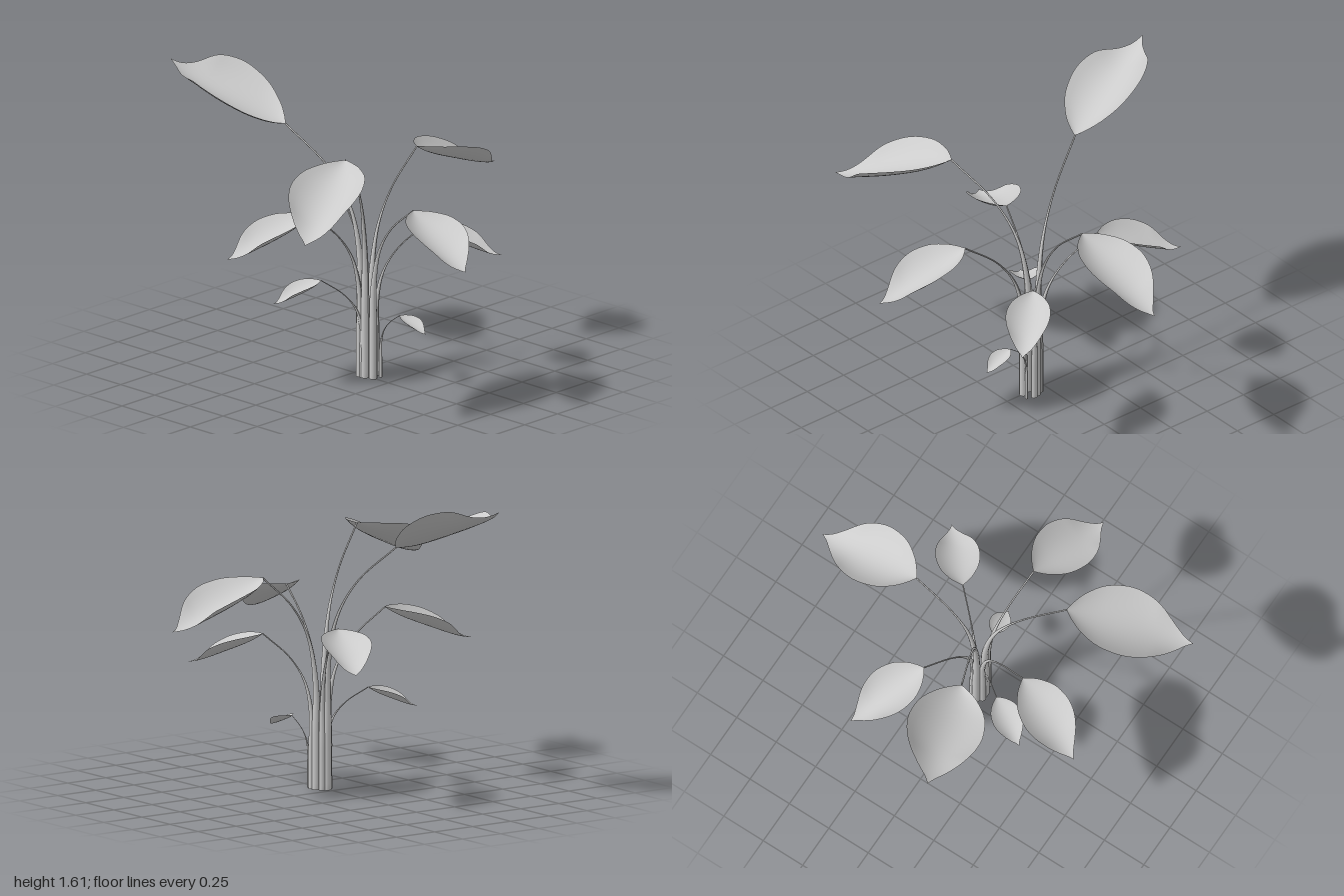
import * as THREE from 'three';

const material = new THREE.MeshStandardMaterial({ color: 0xcccccc, side: THREE.DoubleSide });

// root [x, z], stem radius, leaf base and tip [x, y, z], half width and sideways tilt of the blade
const LEAVES = [
  { root: [0.005, 0.04], r: 0.023, base: [-0.16, 1.345, -0.35], tip: [-0.37, 1.61, -0.99], w: 0.203, tilt: 0.15 },
  { root: [-0.015, 0.095], r: 0.023, base: [-0.39, 1.35, 0.31], tip: [-1.0, 1.09, 0.6], w: 0.195, tilt: 0 },
  { root: [0.045, 0.085], r: 0.022, base: [0.405, 1.18, 0.07], tip: [1.0, 0.955, 0.07], w: 0.175, tilt: 0.05 },
  { root: [0.0, 0.14], r: 0.022, base: [-0.06, 1.03, 0.49], tip: [-0.175, 0.83, 0.985], w: 0.155, tilt: 0 },
  { root: [-0.02, 0.06], r: 0.02, base: [-0.33, 0.955, -0.02], tip: [-0.77, 0.77, -0.195], w: 0.14, tilt: 0 },
  { root: [0.03, 0.05], r: 0.02, base: [0.145, 0.925, -0.25], tip: [0.335, 0.76, -0.665], w: 0.132, tilt: 0 },
  { root: [0.055, 0.11], r: 0.018, base: [0.25, 0.83, 0.28], tip: [0.52, 0.665, 0.58], w: 0.118, tilt: 0 },
  { root: [-0.024, 0.08], r: 0.014, base: [-0.19, 0.545, -0.06], tip: [-0.42, 0.44, -0.19], w: 0.082, tilt: 0 },
  { root: [0.043, 0.153], r: 0.009, base: [0.06, 0.37, 0.28], tip: [0.075, 0.3, 0.455], w: 0.055, tilt: 0 },
];

// outline of a blade: [position along the midrib, share of the half width]
const OUTLINE = new THREE.SplineCurve([
  [0, 0.02], [0.05, 0.27], [0.13, 0.56], [0.27, 0.87], [0.45, 1], [0.6, 0.93],
  [0.73, 0.72], [0.85, 0.38], [0.93, 0.14], [1, 0],
].map(([u, w]) => new THREE.Vector2(u, w)));

// share of the stem's height and of its outward reach
const BEND = [[0, 0], [0.25, 0], [0.5, 0.01], [0.7, 0.15], [0.85, 0.45], [1, 1]];

// tapering stem that rises straight, then arches outward
function createStem({ root, r, base }) {
  const curve = new THREE.CatmullRomCurve3(BEND.map(([h, out]) => new THREE.Vector3(
    THREE.MathUtils.lerp(root[0], base[0], out),
    base[1] * h,
    THREE.MathUtils.lerp(root[1], base[2], out))));
  const rings = 40, sides = 10;
  const geometry = new THREE.TubeGeometry(curve, rings, r, sides);
  const pos = geometry.attributes.position;
  const p = new THREE.Vector3();
  for (let i = 0; i <= rings; i++) {
    const t = i / rings;
    const centre = curve.getPointAt(t);
    const scale = THREE.MathUtils.lerp(1, 0.2, THREE.MathUtils.smoothstep(t, 0.2, 0.8));
    for (let j = 0; j <= sides; j++) {
      const k = i * (sides + 1) + j;
      p.fromBufferAttribute(pos, k).sub(centre).multiplyScalar(scale).add(centre);
      pos.setXYZ(k, p.x, p.y, p.z);
    }
  }
  geometry.computeVertexNormals();
  const stem = new THREE.Mesh(geometry, material);
  stem.name = 'stem';

  // closed foot of the stem
  const foot = new THREE.Mesh(new THREE.CircleGeometry(r, sides), material);
  foot.name = 'stemFoot';
  foot.rotation.x = Math.PI / 2;
  foot.position.set(root[0], 0, root[1]);
  return [stem, foot];
}

// blade with a sagging midrib, raised edges and a flattened, upturned tip
function createBlade({ base, tip, w, tilt }) {
  const across = 12, along = 32;
  const geometry = new THREE.PlaneGeometry(1, 1, across, along);
  const pos = geometry.attributes.position;
  const start = new THREE.Vector3(...base), end = new THREE.Vector3(...tip);
  const dir = end.clone().sub(start).setY(0);
  const length = dir.length();
  dir.normalize();
  const side = new THREE.Vector3(-dir.z, 0, dir.x);
  const p = new THREE.Vector3();
  for (let k = 0; k < pos.count; k++) {
    const s = pos.getX(k) * 2;
    const { x: u, y: share } = OUTLINE.getPoint(0.5 - pos.getY(k));
    const half = Math.max(share, 0) * w;
    const cup = (0.42 + 0.2 * u) * (1 - 0.75 * THREE.MathUtils.smoothstep(u, 0.68, 0.95));
    const sag = 0.045 * length * (1 - (2 * u - 1) ** 4);
    p.lerpVectors(start, end, u).addScaledVector(side, s * half);
    p.y += half * (cup * s * s + tilt * s) - sag;
    pos.setXYZ(k, p.x, p.y, p.z);
  }
  geometry.computeVertexNormals();
  const blade = new THREE.Mesh(geometry, material);
  blade.name = 'leafBlade';
  return blade;
}

export function createModel() {
  const plant = new THREE.Group();
  plant.name = 'plant';
  LEAVES.forEach((spec, i) => {
    const leaf = new THREE.Group();
    leaf.name = `leaf${i + 1}`;
    leaf.add(...createStem(spec), createBlade(spec));
    plant.add(leaf);
  });
  return plant;
}
